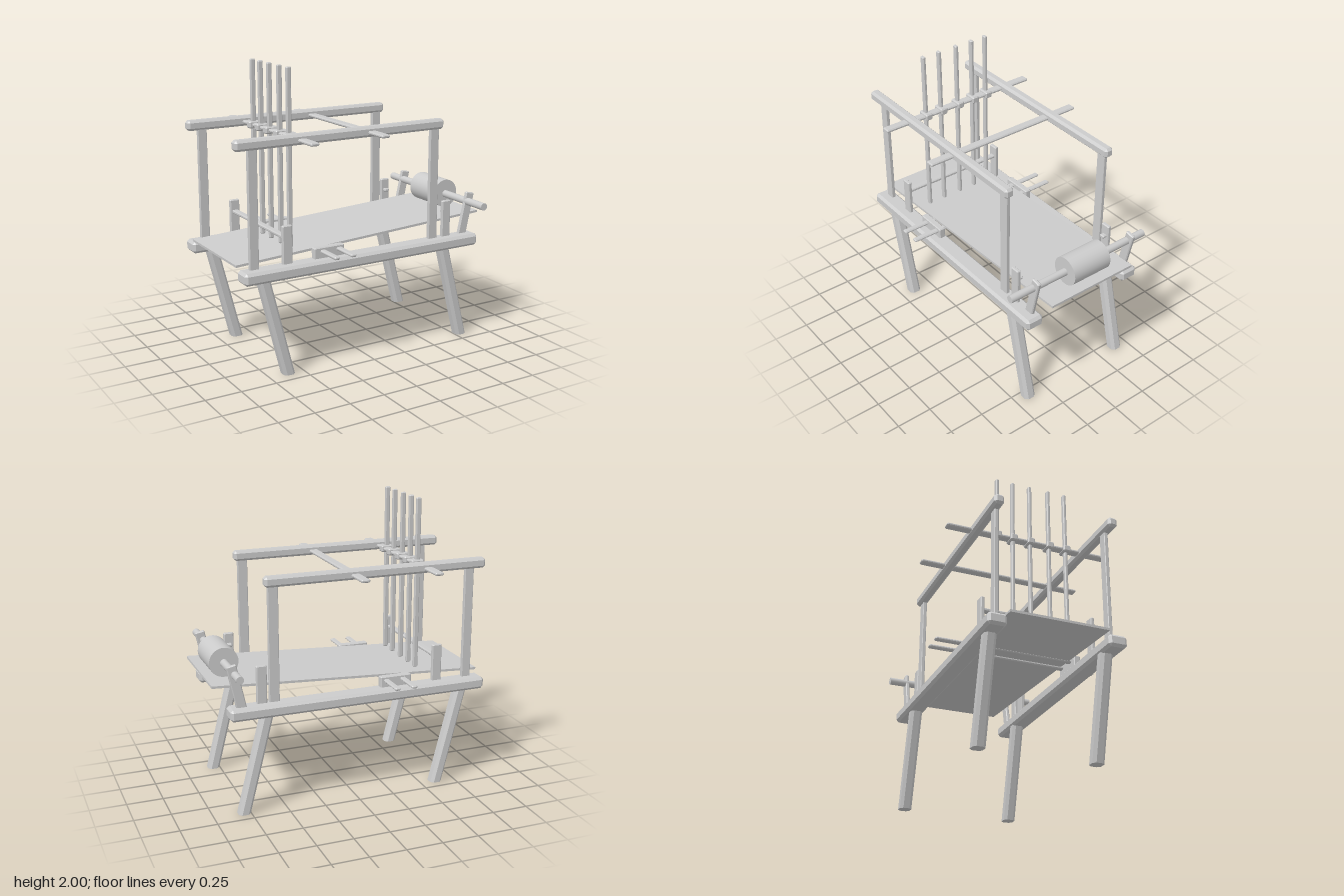
import * as THREE from 'three';
import { ConvexGeometry } from 'three/addons/geometries/ConvexGeometry.js';

export function createModel() {
  const model = new THREE.Group();
  const material = new THREE.MeshStandardMaterial({ color: 0xcccccc, flatShading: true });
  const smooth = new THREE.MeshStandardMaterial({ color: 0xcccccc });

  const add = (name, geometry, x, y, z, mat = material) => {
    const mesh = new THREE.Mesh(geometry, mat);
    mesh.name = name;
    mesh.position.set(x, y, z);
    model.add(mesh);
    return mesh;
  };

  // Box with all edges and corners chamfered by c
  const chamferBox = (w, h, d, c) => {
    const points = [];
    const [a, b, e] = [w / 2, h / 2, d / 2];
    for (const i of [-1, 1]) for (const j of [-1, 1]) for (const k of [-1, 1]) {
      points.push(
        new THREE.Vector3(i * a, j * (b - c), k * (e - c)),
        new THREE.Vector3(i * (a - c), j * b, k * (e - c)),
        new THREE.Vector3(i * (a - c), j * (b - c), k * e));
    }
    return new ConvexGeometry(points);
  };

  // Chamfered bar given by its limits along each axis
  const bar = (name, x0, x1, y0, y1, z0, z1, c = 0.006) =>
    add(name, chamferBox(x1 - x0, y1 - y0, z1 - z0, c), (x0 + x1) / 2, (y0 + y1) / 2, (z0 + z1) / 2);

  // Eight-sided leg, slanted in x and cut level at both ends
  const leg = (xTop, xBottom, z) => {
    const points = [];
    for (const [x, y] of [[xTop, 0.69], [xBottom, 0]]) {
      for (const s of [-1, 1]) for (const t of [-1, 1]) {
        points.push(
          new THREE.Vector3(x + s * 0.041, y, t * 0.022),
          new THREE.Vector3(x + s * 0.022, y, t * 0.042));
      }
    }
    add('leg', new ConvexGeometry(points), 0, 0, z);
  };

  // The two side frames; the back one is set slightly differently
  for (const s of [1, -1]) {
    const front = s > 0;
    const dx = front ? 0 : 0.03;
    const z = front ? 0.39 : -0.387;

    bar('lowerBeam', -0.94, 0.88, 0.672, 0.755, s * 0.407 - 0.065, s * 0.407 + 0.065, 0.018);
    leg(-0.785, -0.61, front ? 0.392 : -0.402);
    leg(0.62, 0.795, front ? 0.392 : -0.402);

    bar('upperRail', -0.97 + dx, 0.595 + dx, 1.525, 1.595, s * 0.395 - 0.034, s * 0.395 + 0.034, 0.016);
    bar('rearPost', -0.875 + dx / 3, -0.81 + dx / 3, 0.74, 1.54, z - 0.014, z + 0.014, 0.004);
    bar('frontPost', 0.5 + dx, 0.57 + dx, 0.74, 1.54, z - 0.014, z + 0.014, 0.004);

    // Short uprights on the beam, the outer pair with a small inner peg
    bar('shortUpright', -0.64, -0.57, 0.74, 1.01, z - 0.014, z + 0.014);
    bar('shortUpright', 0.615, 0.685, 0.74, 1.01, z - 0.014, z + 0.014);
    bar('uprightPeg', 0.632, 0.67, 0.915, 0.938, s * 0.37 - 0.025, s * 0.37 + 0.025);

    // Block that carries the low rods
    bar('rodBlock', -0.41, -0.185, 0.74, 0.828, s * 0.385 - 0.023, s * 0.385 + 0.023);

    // Leaning arm that carries the roller
    const arm = add('rollerArm', chamferBox(0.068, 0.33, 0.027, 0.006), 0.823, 0.88, front ? 0.388 : -0.413);
    arm.rotation.z = -0.215;
  }

  // Bars across the upper rails
  for (const x of [-0.507, 0.012]) {
    bar('upperCrossBar', x - 0.03, x + 0.03, 1.545, 1.567, -0.6, 0.597, 0.007);
  }
  // Low rods running beneath the sheet
  for (const x of [-0.347, -0.225]) {
    bar('lowRod', x - 0.02, x + 0.02, 0.791, 0.812, -0.6, 0.597, 0.007);
  }
  // Bar joining the rear short uprights
  bar('uprightCrossBar', -0.626, -0.582, 0.915, 0.938, -0.395, 0.395);

  // Tall rods with collars on the upper cross bar
  for (const z of [0.265, 0.14, 0, -0.127, -0.242]) {
    bar('tallRod', -0.532, -0.497, 0.815, 2, z - 0.012, z + 0.012, 0.006);
    bar('rodCollar', -0.555, -0.465, 1.532, 1.58, z - 0.026, z + 0.026, 0.008);
  }

  // Sloping sheet
  const sheet = add('sheet', new THREE.BoxGeometry(1.913, 0.016, 0.677), 0.01, 0.828, 0.007);
  sheet.rotation.z = 0.054;

  // Roller drum and its axle
  const drum = add('rollerDrum', new THREE.CylinderGeometry(0.1, 0.1, 0.3, 40), 0.835, 0.983, -0.013, smooth);
  const axle = add('rollerAxle', new THREE.CylinderGeometry(0.026, 0.026, 1.127, 20), 0.835, 0.98, 0.021, smooth);
  drum.rotation.x = axle.rotation.x = Math.PI / 2;

  return model;
}
